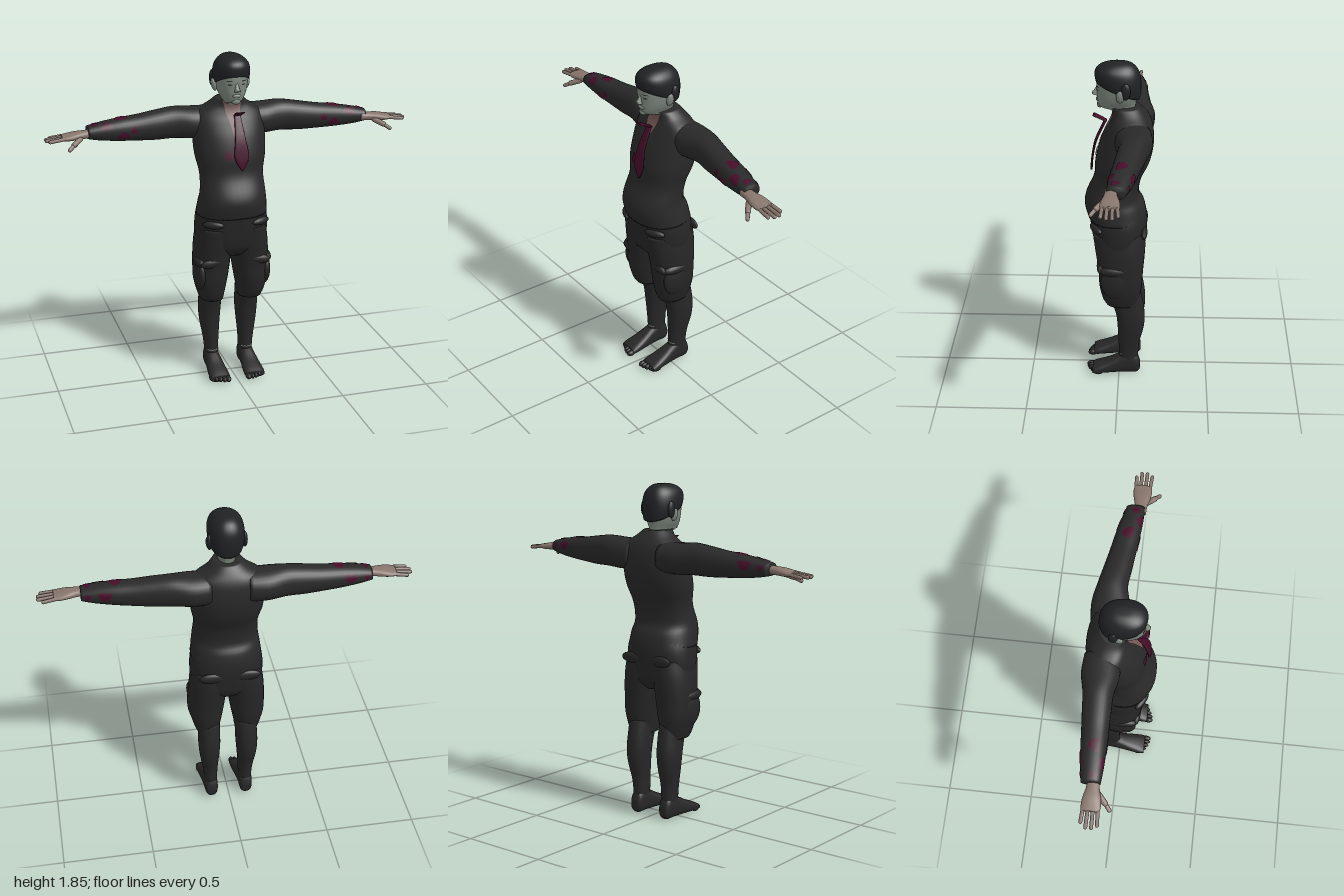
import * as THREE from 'three';

const mat = (name, color) => {
  const m = new THREE.MeshStandardMaterial({ color, side: THREE.DoubleSide });
  m.name = name;
  return m;
};

// Surface through cross-sections [axis position, u0, u1, v0, v1]; k runs 0..1 along it, t around it
function surface(secs, axis, p = 0.9, warp = null) {
  const n = secs.length - 1;
  const cr = (a, b, c, d, f) =>
    0.5 * (2 * b + (c - a) * f + (2 * a - 5 * b + 4 * c - d) * f * f + (3 * b - a - 3 * c + d) * f * f * f);
  const pw = v => Math.sign(v) * Math.abs(v) ** p;
  return (k, t, grow = 0) => {
    const x = Math.min(Math.max(k, 0), 1) * n, i = Math.min(Math.floor(x), n - 1), f = x - i;
    const at = j => secs[Math.min(Math.max(j, 0), n)];
    const [w, u0, u1, v0, v1] = at(i).map((_, j) => cr(at(i - 1)[j], at(i)[j], at(i + 1)[j], at(i + 2)[j], f));
    const u = (u0 + u1) / 2 + ((u1 - u0) / 2 + grow) * pw(Math.cos(t));
    const v = (v0 + v1) / 2 + ((v1 - v0) / 2 + grow) * pw(Math.sin(t));
    const q = axis === 'y' ? new THREE.Vector3(u, w, v)
      : axis === 'x' ? new THREE.Vector3(w, u, v) : new THREE.Vector3(u, v, w);
    if (warp) warp(q);
    return q;
  };
}

function build(pos, idx) {
  const g = new THREE.BufferGeometry();
  g.setAttribute('position', new THREE.Float32BufferAttribute(pos, 3));
  g.setIndex(idx);
  g.computeVertexNormals();
  return g;
}

// Closed smooth solid along a surface
function loft(secs, axis, { p, warp, n = 28, sub = 4 } = {}) {
  const S = surface(secs, axis, p, warp), rows = (secs.length - 1) * sub, pos = [], idx = [];
  const flip = (axis !== 'y') !== (secs[secs.length - 1][0] < secs[0][0]);
  const tri = (a, b, c) => (flip ? idx.push(a, c, b) : idx.push(a, b, c));
  for (let i = 0; i <= rows; i++)
    for (let j = 0; j < n; j++) pos.push(...S(i / rows, j / n * Math.PI * 2).toArray());
  for (let i = 0; i < rows; i++)
    for (let j = 0; j < n; j++) {
      const a = i * n + j, b = i * n + (j + 1) % n;
      tri(a, a + n, b);
      tri(b, a + n, b + n);
    }
  for (const [row, end] of [[0, false], [rows, true]]) {
    const c = pos.length / 3, m = new THREE.Vector3();
    for (let j = 0; j < n; j++) m.add(S(row / rows, j / n * Math.PI * 2));
    pos.push(...m.divideScalar(n).toArray());
    for (let j = 0; j < n; j++) {
      const a = row * n + j, b = row * n + (j + 1) % n;
      if (end) tri(a, c, b); else tri(a, b, c);
    }
  }
  return build(pos, idx);
}

// Thin skin lying just over a surface; fn(u, v) gives [k, t]
function patch(S, fn, lift = 0.003, n = 14) {
  const pos = [], idx = [];
  for (let i = 0; i <= n; i++)
    for (let j = 0; j <= n; j++) pos.push(...S(...fn(i / n, j / n), lift).toArray());
  for (let i = 0; i < n; i++)
    for (let j = 0; j < n; j++) {
      const a = i * (n + 1) + j;
      idx.push(a, a + 1, a + n + 1, a + 1, a + n + 2, a + n + 1);
    }
  return build(pos, idx);
}
const spot = (k0, t0, rk, rt) => (u, v) => {
  const a = v * Math.PI * 2, r = u * (1 + 0.15 * Math.sin(3 * a));
  return [k0 + rk * r * Math.cos(a), t0 + rt * r * Math.sin(a)];
};

export function createModel() {
  const model = new THREE.Group();
  const shirt = mat('shirt black', 0x292929), shorts = mat('shorts black', 0x262626);
  const legs = mat('leg charcoal', 0x272727), hair = mat('hair black', 0x202224);
  const face = mat('face grey green', 0x7f887f), skin = mat('hand skin', 0x87756c);
  const chest = mat('chest skin', 0x755a54), red = mat('dark red', 0x460d29), dark = mat('feature dark', 0x303430);
  const add = (name, geo, m) => {
    const mesh = new THREE.Mesh(geo, m);
    mesh.name = name;
    model.add(mesh);
    return mesh;
  };
  const ball = (name, m, x, y, z, sx, sy, sz) => {
    const b = add(name, new THREE.SphereGeometry(1, 16, 12), m);
    b.position.set(x, y, z);
    b.scale.set(sx, sy, sz);
    return b;
  };
  const rod = (name, m, a, b, r) => {
    const A = new THREE.Vector3(...a), d = new THREE.Vector3(...b).sub(A), len = d.length();
    const c = add(name, new THREE.CapsuleGeometry(r, len, 4, 10), m);
    c.position.copy(A).addScaledVector(d, 0.5);
    c.quaternion.setFromUnitVectors(new THREE.Vector3(0, 1, 0), d.normalize());
  };
  const sym = rows => rows.map(([y, x, z0, z1]) => [y, -x, x, z0, z1]);
  const side = (rows, s) => rows.map(([w, a, b, c, d]) => (s > 0 ? [w, a, b, c, d] : [w, -b, -a, c, d]));

  // Shirt body with open neck
  const torso = sym([[0.97, 0.197, -0.15, 0.172], [1.04, 0.188, -0.135, 0.19], [1.1, 0.18, -0.105, 0.18],
    [1.2, 0.176, -0.12, 0.138], [1.3, 0.195, -0.165, 0.13], [1.4, 0.2, -0.185, 0.105], [1.48, 0.2, -0.18, 0.07],
    [1.53, 0.18, -0.165, 0.045], [1.57, 0.115, -0.14, 0.035], [1.605, 0.075, -0.11, 0.045]]);
  const T = surface(torso, 'y'), F = Math.PI / 2;
  add('shirtBody', loft(torso, 'y', { n: 40 }), shirt);
  add('openNeck', patch(T, (u, v) => [(4.7 + 4.3 * u) / 9, F + (v * 2 - 1) * (0.28 * u + 0.5 * u ** 5)], 0.004), chest);
  add('shirtStain', patch(T, spot(4.2 / 9, F + 0.2, 0.03, 0.12), 0.005), red);

  // Necktie, kicked forward at the top
  add('necktie', loft([[1.24, 0.018, 0.028, 0.145, 0.156], [1.31, -0.02, 0.06, 0.14, 0.152], [1.41, -0.012, 0.047, 0.12, 0.133],
    [1.515, -0.003, 0.035, 0.073, 0.087], [1.527, -0.006, 0.038, 0.07, 0.085], [1.556, -0.012, 0.042, 0.125, 0.142]],
  'y', { n: 16, p: 0.6 }), red);

  // Head and neck
  const headRows = sym([[1.53, 0.058, -0.09, 0.035], [1.585, 0.056, -0.085, 0.045], [1.605, 0.05, -0.085, 0.108],
    [1.64, 0.069, -0.09, 0.118], [1.68, 0.081, -0.1, 0.12], [1.73, 0.087, -0.105, 0.122], [1.78, 0.085, -0.1, 0.115]]);
  const H = surface(headRows, 'y');
  add('head', loft(headRows, 'y', { n: 36 }), face);
  add('mouth', patch(H, spot(2.95 / 6, F, 0.009, 0.25), 0.003), dark);
  const nose = add('nose', new THREE.ConeGeometry(0.018, 0.06, 12), face);
  nose.position.set(0, 1.697, 0.122);
  nose.rotation.x = -0.25;
  ball('noseTip', face, 0, 1.678, 0.13, 0.014, 0.011, 0.015);
  ball('chin', face, 0, 1.612, 0.103, 0.025, 0.018, 0.018);
  ball('lips', face, 0, 1.643, 0.115, 0.024, 0.011, 0.01);
  for (const s of [1, -1]) {
    add('eye', patch(H, spot(4.52 / 6, F - s * 0.4, 0.014, 0.14), 0.003), dark);
    add('eyebrow', patch(H, spot(4.9 / 6, F - s * 0.42, 0.01, 0.2), 0.004), dark);
    ball('ear', face, s * 0.092, 1.685, -0.005, 0.014, 0.036, 0.022).rotation.z = -s * 0.2;
    ball('sideburn', hair, s * 0.094, 1.715, -0.035, 0.014, 0.045, 0.025);
  }

  // Hair, cut lower at the back
  add('hair', loft(sym([[1.695, 0.09, -0.108, 0.126], [1.73, 0.097, -0.114, 0.131], [1.77, 0.096, -0.114, 0.13],
    [1.805, 0.086, -0.104, 0.118], [1.832, 0.063, -0.08, 0.092], [1.847, 0.034, -0.045, 0.055], [1.85, 0.006, 0, 0.01]]), 'y',
  { n: 36, warp: q => { q.y += q.z * 0.42 * Math.max(0, (1.85 - q.y) / 0.155); } }), hair);

  // Arms and hands
  for (const s of [1, -1]) {
    const zc = x => (s > 0 ? -0.08 + 0.155 * Math.max(0, x - 0.3) : -0.088 + 0.035 * Math.max(0, x - 0.3));
    const rows = [[0.1, 1.38, 1.55, 0.095], [0.2, 1.38, 1.552, 0.1], [0.3, 1.386, 1.557, 0.08], [0.4, 1.385, 1.545, 0.075],
      [0.5, 1.39, 1.53, 0.07], [0.6, 1.397, 1.52, 0.066], [0.7, 1.408, 1.505, 0.058], [0.77, 1.422, 1.49, 0.05]]
      .map(([x, a, b, h]) => [s * x, a, b, zc(x) - h, zc(x) + h]);
    const A = surface(rows, 'x');
    add('sleeve', loft(rows, 'x'), shirt);
    // Stains on the sleeve: t = 0 on top, a quarter turn at the front
    for (const [k, t, rk, rt] of [[0.69, 1.9, 0.045, 0.3], [0.7, 0.1, 0.05, 0.4], [0.82, 0.9, 0.05, 0.5],
      [0.92, 0.2, 0.035, 0.4], [0.61, 1.5, 0.025, 0.25], [0.78, -1.3, 0.05, 0.4], [0.92, -1.4, 0.03, 0.35]])
      add('sleeveStain', patch(A, spot(k, t, rk, rt)), red);

    const c = zc(0.87) + 0.01;
    add('palm', loft([[0.74, 1.43, 1.475, 0.03], [0.79, 1.428, 1.472, 0.034], [0.84, 1.425, 1.468, 0.046],
      [0.88, 1.425, 1.46, 0.05], [0.91, 1.43, 1.455, 0.046]].map(([x, a, b, h]) => [s * x, a, b, c - h, c + h]), 'x'), skin);
    [[-0.037, 0.965], [-0.013, 0.99], [0.012, 0.99], [0.036, 0.975]].forEach(([dz, tip]) =>
      rod('finger', skin, [s * 0.89, 1.443, c + dz], [s * tip, 1.433, c + dz * 1.15], 0.01));
    rod('thumb', skin, [s * 0.815, 1.435, c + 0.03], [s * 0.855, 1.415, c + 0.068], 0.015);
    rod('thumbTip', skin, [s * 0.855, 1.415, c + 0.068], [s * 0.883, 1.396, c + 0.092], 0.011);
  }

  // Shorts
  add('shortsSeat', loft(sym([[0.73, 0.1, -0.1, 0.085], [0.78, 0.185, -0.138, 0.13], [0.86, 0.203, -0.15, 0.15],
    [0.95, 0.2, -0.153, 0.162], [1.02, 0.185, -0.14, 0.17]]), 'y', { n: 36 }), shorts);
  for (const s of [1, -1]) {
    add('shortsLeg', loft(side([[0.46, 0.045, 0.175, -0.105, 0.07], [0.5, 0.04, 0.19, -0.115, 0.09], [0.58, 0.025, 0.21, -0.128, 0.108],
      [0.66, 0.012, 0.213, -0.133, 0.113], [0.74, 0.002, 0.211, -0.14, 0.123], [0.82, -0.01, 0.204, -0.145, 0.135],
      [0.9, 0, 0.19, -0.14, 0.145]], s), 'y'), shorts);
    // Cargo, hip and seat pockets
    ball('cargoPocket', shorts, s * 0.185, 0.625, 0.015, 0.034, 0.1, 0.085);
    ball('cargoFlap', shorts, s * 0.19, 0.7, 0.025, 0.03, 0.03, 0.08);
    ball('frontFlap', shorts, s * 0.13, 0.705, 0.1, 0.07, 0.028, 0.022).rotation.z = -s * 0.15;
    ball('hipPocket', shorts, s * 0.135, 0.935, 0.125, 0.06, 0.022, 0.022).rotation.y = s * 0.5;
    ball('seatPocket', shorts, s * 0.1, 0.9, -0.138, 0.07, 0.03, 0.018);

    // Lower leg with a bare strip at the ankle
    const leg = side([[0.08, 0.065, 0.14, -0.105, 0], [0.13, 0.063, 0.14, -0.11, 0], [0.2, 0.06, 0.148, -0.116, 0.002],
      [0.3, 0.052, 0.164, -0.14, 0.007], [0.38, 0.046, 0.17, -0.145, 0.015], [0.46, 0.045, 0.168, -0.137, 0.035],
      [0.54, 0.045, 0.168, -0.12, 0.04]], s);
    const L = surface(leg, 'y');
    add('lowerLeg', loft(leg, 'y'), legs);
    add('ankleStrip', patch(L, (u, v) => [0.158 + 0.014 * u + 0.006 * Math.sin(v * 30), F + (v - 0.5) * 1.8], 0.003, 24), face);

    // Foot and toes
    add('foot', loft(side([[-0.12, 0.08, 0.125, 0.02, 0.07], [-0.1, 0.065, 0.137, 0, 0.12], [-0.05, 0.062, 0.142, 0, 0.135],
      [0, 0.058, 0.146, 0, 0.112], [0.06, 0.05, 0.154, 0, 0.08], [0.12, 0.044, 0.16, 0, 0.055],
      [0.15, 0.046, 0.158, 0.002, 0.04]], s), 'z', { p: 0.8 }), legs);
    for (let i = 0; i < 5; i++)
      ball('toe', legs, s * (0.06 + i * 0.022), 0.018, 0.158 - i * i * 0.0025, i ? 0.012 : 0.016, 0.017, 0.027);
  }
  return model;
}
